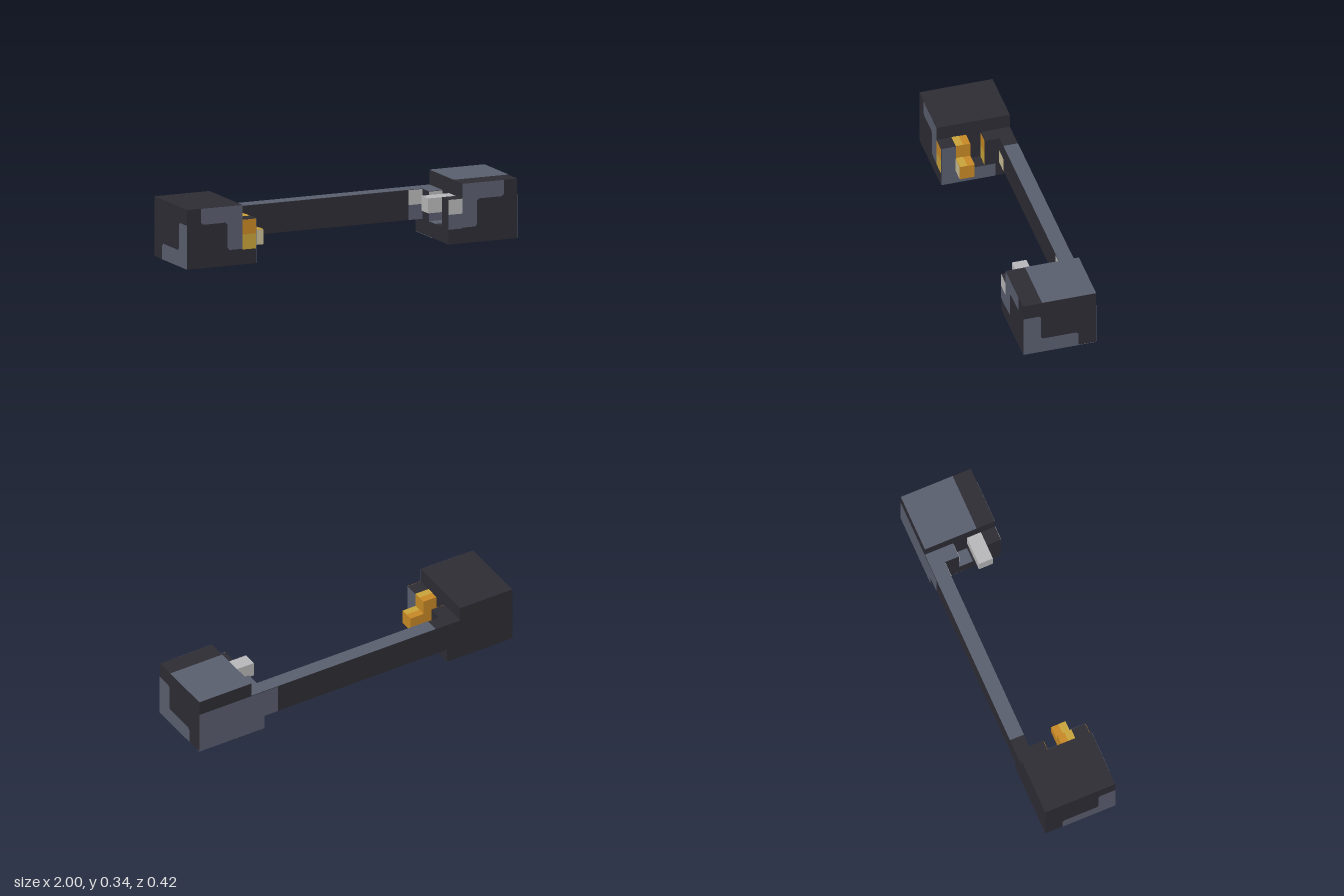
import * as THREE from 'three';

const paint = (name, color) => {
  const m = new THREE.MeshStandardMaterial({ color, side: THREE.DoubleSide });
  m.name = name;
  return m;
};

export function createModel() {
  const model = new THREE.Group();
  model.name = 'headset';
  const dark = paint('charcoal', 0x2e2d35);
  const slate = paint('slate', 0x5b6070);
  const yellow = paint('yellow', 0xc9a53a);
  const orange = paint('orange', 0xc98a26);
  const pale = paint('paleGold', 0xcbc096);
  const grey = paint('lightGrey', 0xbababc);

  const U = 1 / 12;    // block unit
  const D = 2.5 * U;   // half depth
  const E = 0.002;     // lift of painted faces

  // Box given by its lower and upper corners
  function block(name, mat, [x0, y0, z0], [x1, y1, z1]) {
    const mesh = new THREE.Mesh(new THREE.BoxGeometry(Math.abs(x1 - x0), y1 - y0, z1 - z0), mat);
    mesh.name = name;
    mesh.position.set((x0 + x1) / 2, (y0 + y1) / 2, (z0 + z1) / 2);
    model.add(mesh);
  }
  // Flat painted face: outline is (x, y) for axis z, (z, y) for axis x, (x, z) for axis y
  function face(name, mat, axis, at, pts) {
    const geo = new THREE.ShapeGeometry(new THREE.Shape(pts.map(p => new THREE.Vector2(...p))));
    if (axis === 'x') geo.rotateY(-Math.PI / 2);
    if (axis === 'y') geo.rotateX(Math.PI / 2);
    const mesh = new THREE.Mesh(geo, mat);
    mesh.name = name;
    mesh.position[axis] = at;
    model.add(mesh);
  }
  const rect = (a, b, c, d) => [[a, b], [c, b], [c, d], [a, d]];

  // Ear cups with notched cushions, mirrored
  for (const s of [-1, 1]) {
    const n = s < 0 ? 'right' : 'left';
    block(n + 'Cup', dark, [s * 8 * U, 0, -D], [s, 4 * U, D]);
    block(n + 'CushionBase', dark, [s * 7 * U, 0, -D], [s * 8 * U, U, D]);
    block(n + 'CushionBack', dark, [s * 7 * U, U, -D], [s * 8 * U, 3 * U, -0.5 * U]);
    block(n + 'CushionFront', dark, [s * 7 * U, U, 1.5 * U], [s * 8 * U, 3 * U, D]);

    // Stepped camouflage patches on the outer and front faces
    face(n + 'OuterPatch', slate, 'x', s * (1 + E), [
      [D, 0], [D, 0.245], [0.117, 0.245], [0.106, 0.234], [0.106, 0.1],
      [0.095, 0.09], [-0.094, 0.09], [-0.106, 0.078], [-0.106, 0]]);
    face(n + 'FrontPatch', slate, 'z', D + E, [
      [0.667, 0.333], [0.918, 0.333], [0.918, 0.255], [0.905, 0.243], [0.768, 0.243],
      [0.756, 0.23], [0.756, 0.1], [0.745, 0.088], [0.667, 0.088]].map(([x, y]) => [s * x, y]));
  }

  // Headband
  block('headband', dark, [-7 * U, U, -D], [7 * U, 3 * U, -1.5 * U]);
  face('headbandTop', slate, 'y', 3 * U + E, rect(-0.51, -D, 7 * U, -1.5 * U));
  face('headbandBackPatch', slate, 'z', -D - E, rect(6 * U, U, 7 * U, 3 * U));
  face('headbandPalePatch', pale, 'z', -1.5 * U + E, rect(-7 * U, U, -6 * U, 2 * U));
  face('headbandSlatePatch', slate, 'z', -1.5 * U + E, rect(6 * U, U, 7 * U, 2 * U));
  face('headbandGreyPatch', grey, 'z', -1.5 * U + E, rect(6 * U, 2 * U, 7 * U, 3 * U));

  // Slate areas of the left cup
  face('leftCupTop', slate, 'y', 4 * U + E, rect(8 * U, -D, 1, 0.1));
  face('leftCupBack', slate, 'z', -D - E, rect(7 * U, 0, 1, 3 * U));
  face('leftCupBottom', slate, 'y', -E, rect(7 * U, -D, 1, 0));
  face('leftCushionTop', slate, 'y', 3 * U + E, rect(7 * U, -D, 8 * U, -0.5 * U));
  face('leftCushionFloor', slate, 'y', U + E, rect(7 * U, -0.5 * U, 8 * U, 0.5 * U));

  // Slate areas on the inside of the right cushion
  face('rightCushionInnerLow', slate, 'x', -7 * U + E, rect(-0.1, 0, D, U));
  face('rightCushionInnerFront', slate, 'x', -7 * U + E, rect(1.5 * U, U, D, 3 * U));

  // Coloured cushion faces, on the front and inside the notch
  for (const z of [D + E, -0.5 * U + E]) {
    face('rightCushionOrange', orange, 'z', z, rect(-8 * U, 2 * U, -7 * U, 3 * U));
    face('rightCushionYellow', yellow, 'z', z, rect(-8 * U, U, -7 * U, 2 * U));
    face('leftCushionGrey', grey, 'z', z, rect(7 * U, 2 * U, 8 * U, 3 * U));
    face('leftCushionSlate', slate, 'z', z, rect(7 * U, U, 8 * U, 2 * U));
  }

  // Golden stepped plug on the right, yellow on its front half
  block('goldPlugPost', orange, [-8 * U, U, 0.5 * U], [-7 * U, 3 * U, 1.5 * U]);
  block('goldPlugTip', orange, [-7 * U, U, 0.5 * U], [-6 * U, 2 * U, 1.5 * U]);
  face('goldPostTop', yellow, 'y', 3 * U + E, rect(-8 * U, U, -7 * U, 1.5 * U));
  face('goldTipTop', yellow, 'y', 2 * U + E, rect(-7 * U, U, -6 * U, 1.5 * U));
  face('goldTipFront', pale, 'z', 1.5 * U + E, rect(-7 * U, U, -6 * U, 2 * U));

  // Grey plug on the left
  block('greyPlug', grey, [6 * U, 2 * U, 0.5 * U], [8 * U, 3 * U, 1.5 * U]);

  return model;
}
